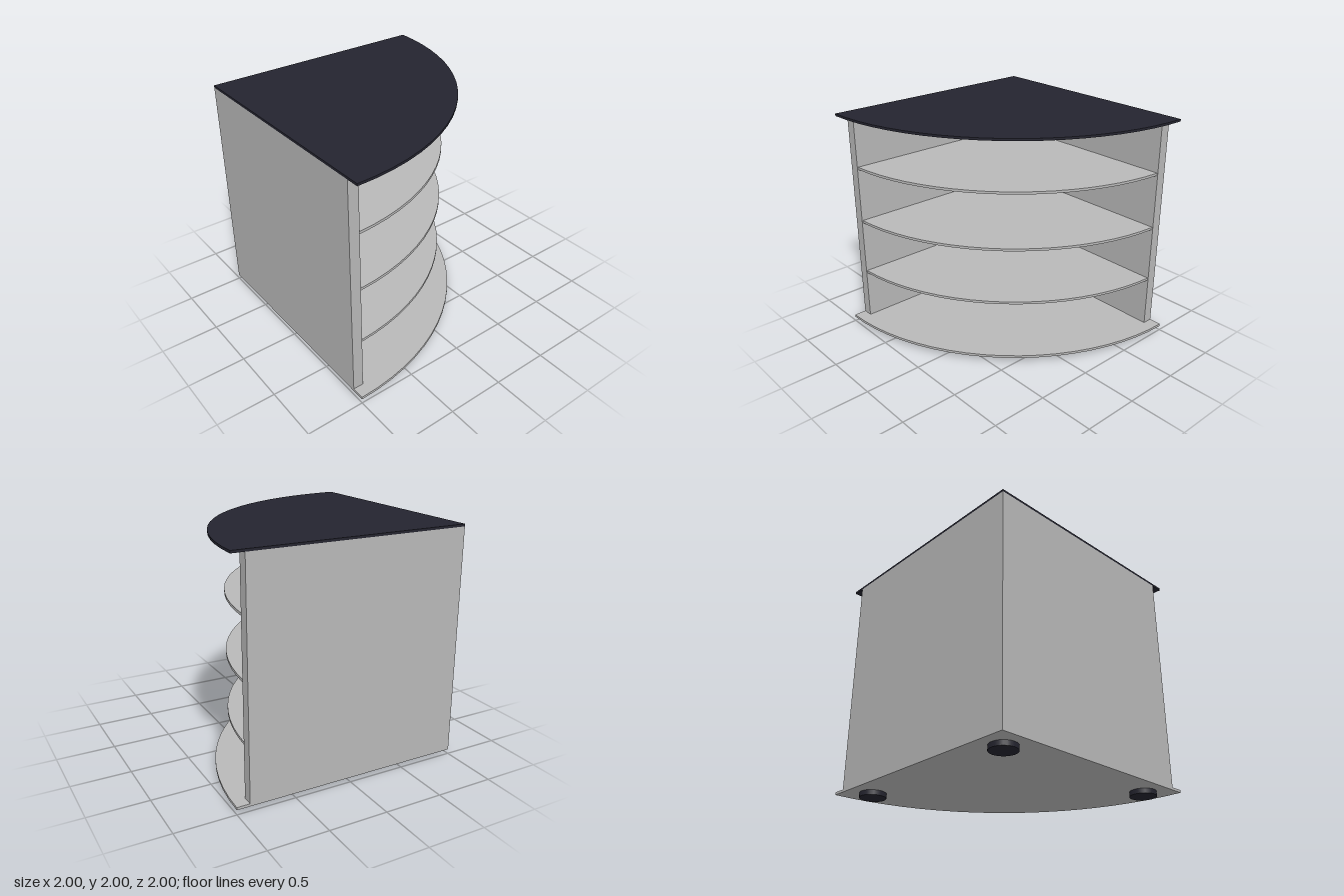
import * as THREE from 'three';

const grey = new THREE.MeshStandardMaterial({ color: 0xb8b8b8 });
grey.name = 'light grey';
const dark = new THREE.MeshStandardMaterial({ color: 0x24242f });
dark.name = 'dark blue black';

const CORNER = -1; // x and z of the square back corner
const WALL = 0.09; // wall thickness

// Quarter-round board with its corner at the back; inset trims the two straight sides
function quarterBoard(radius, inset, y, height) {
  const reach = Math.sqrt(radius * radius - inset * inset);
  const start = Math.atan2(inset, reach);
  const shape = new THREE.Shape();
  shape.moveTo(inset, -inset);
  const steps = 20;
  for (let i = 0; i <= steps; i++) {
    const a = start + (i / steps) * (Math.PI / 2 - 2 * start);
    shape.lineTo(radius * Math.cos(a), -radius * Math.sin(a));
  }
  shape.closePath();
  const geo = new THREE.ExtrudeGeometry(shape, { depth: height, bevelEnabled: false });
  geo.rotateX(-Math.PI / 2);
  geo.translate(CORNER, y, CORNER);
  return geo;
}

export function createModel() {
  const group = new THREE.Group();
  const add = (name, geo, mat, x = 0, y = 0, z = 0) => {
    const mesh = new THREE.Mesh(geo, mat);
    mesh.name = name;
    mesh.position.set(x, y, z);
    group.add(mesh);
  };

  // Base and top
  add('base', quarterBoard(2, 0, 0.04, 0.022), grey);
  add('top', quarterBoard(2, 0, 1.98, 0.02), dark);

  // Two walls meeting at the back corner
  const wallHeight = 1.98 - 0.062;
  const wallY = 0.062 + wallHeight / 2;
  const wallLength = 1.89;
  add('backWall', new THREE.BoxGeometry(wallLength, wallHeight, WALL), grey,
    CORNER + wallLength / 2, wallY, CORNER + WALL / 2);
  add('sideWall', new THREE.BoxGeometry(WALL, wallHeight, wallLength - WALL), grey,
    CORNER + WALL / 2, wallY, CORNER + WALL + (wallLength - WALL) / 2);

  // Three shelves fitted between the walls
  for (const y of [0.503, 1.003, 1.503]) {
    add('shelf', quarterBoard(1.885, WALL, y, 0.022), grey);
  }

  // Round feet near the three corners
  for (const [x, z] of [[-0.8, -0.8], [0.75, -0.8], [-0.8, 0.76]]) {
    add('foot', new THREE.CylinderGeometry(0.11, 0.11, 0.04, 24), dark, x, 0.02, z);
  }

  return group;
}
